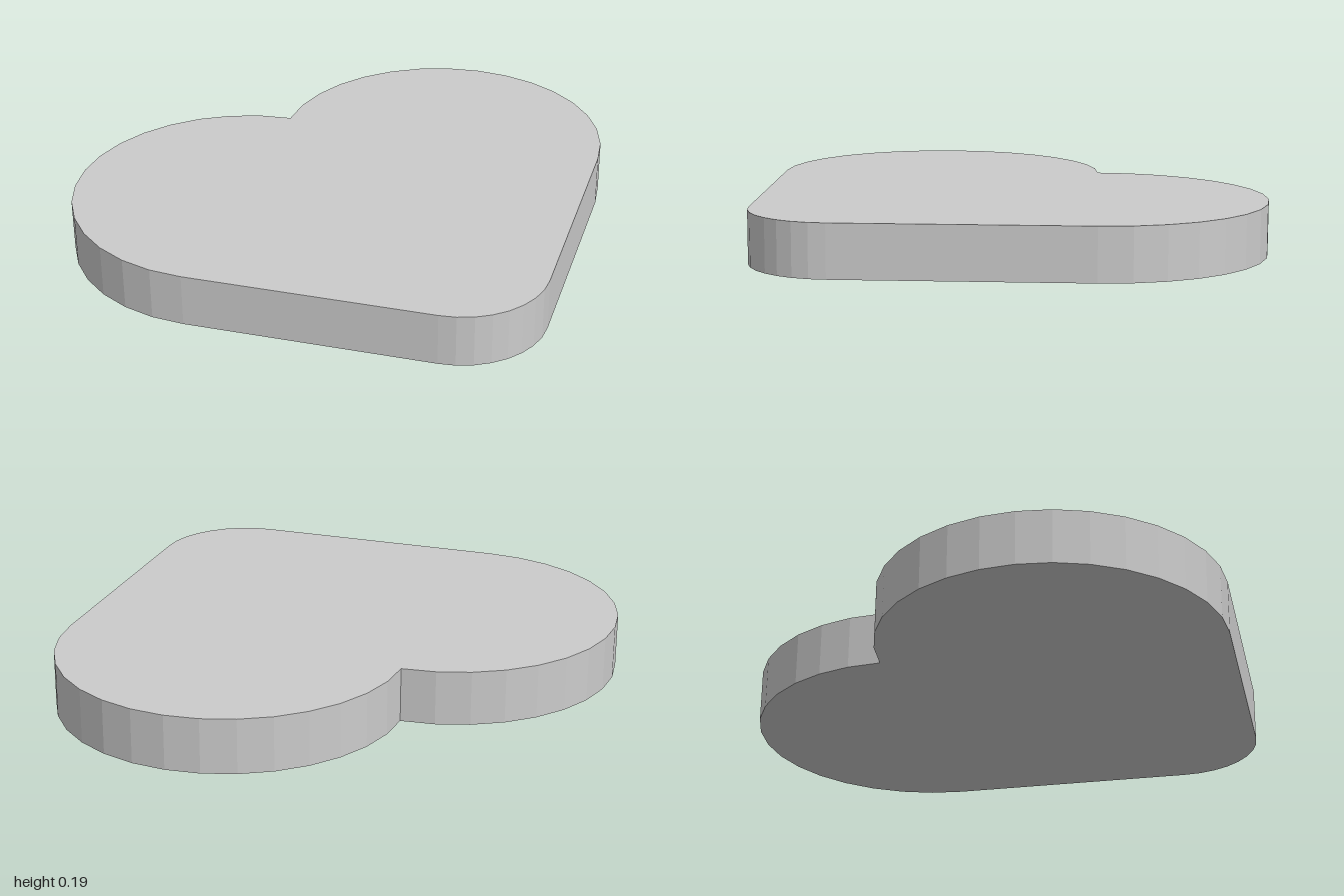
import * as THREE from 'three';

const STEP = Math.PI / 16; // every arc is cut from a 32-sided circle

// Points along an arc, from one step index to another
function arc(cx, cy, radius, from, to) {
  const points = [];
  for (let i = from; i <= to; i++) {
    points.push(new THREE.Vector2(cx + radius * Math.cos(i * STEP), cy + radius * Math.sin(i * STEP)));
  }
  return points;
}

export function createModel() {
  const group = new THREE.Group();
  group.name = 'heart';

  // Outline: rounded tip, right lobe up to the notch, mirrored left lobe
  const lobeX = 0.414, lobeY = 0.265, lobeRadius = 0.586;
  const tip = arc(0, -0.55, 0.3, -12, -4);
  const rightLobe = arc(lobeX, lobeY, lobeRadius, -4, 12);
  rightLobe[rightLobe.length - 1].x = 0;
  const leftLobe = rightLobe.slice(0, -1).reverse().map((p) => new THREE.Vector2(-p.x, p.y));
  const shape = new THREE.Shape([...tip, ...rightLobe, ...leftLobe]);

  // Flat slab, laid down with the tip towards the front
  const geometry = new THREE.ExtrudeGeometry(shape, { depth: 0.185, bevelEnabled: false });
  geometry.rotateX(-Math.PI / 2);

  const slab = new THREE.Mesh(
    geometry,
    new THREE.MeshStandardMaterial({ color: 0xcccccc, flatShading: true })
  );
  slab.name = 'heartSlab';
  group.add(slab);
  return group;
}
